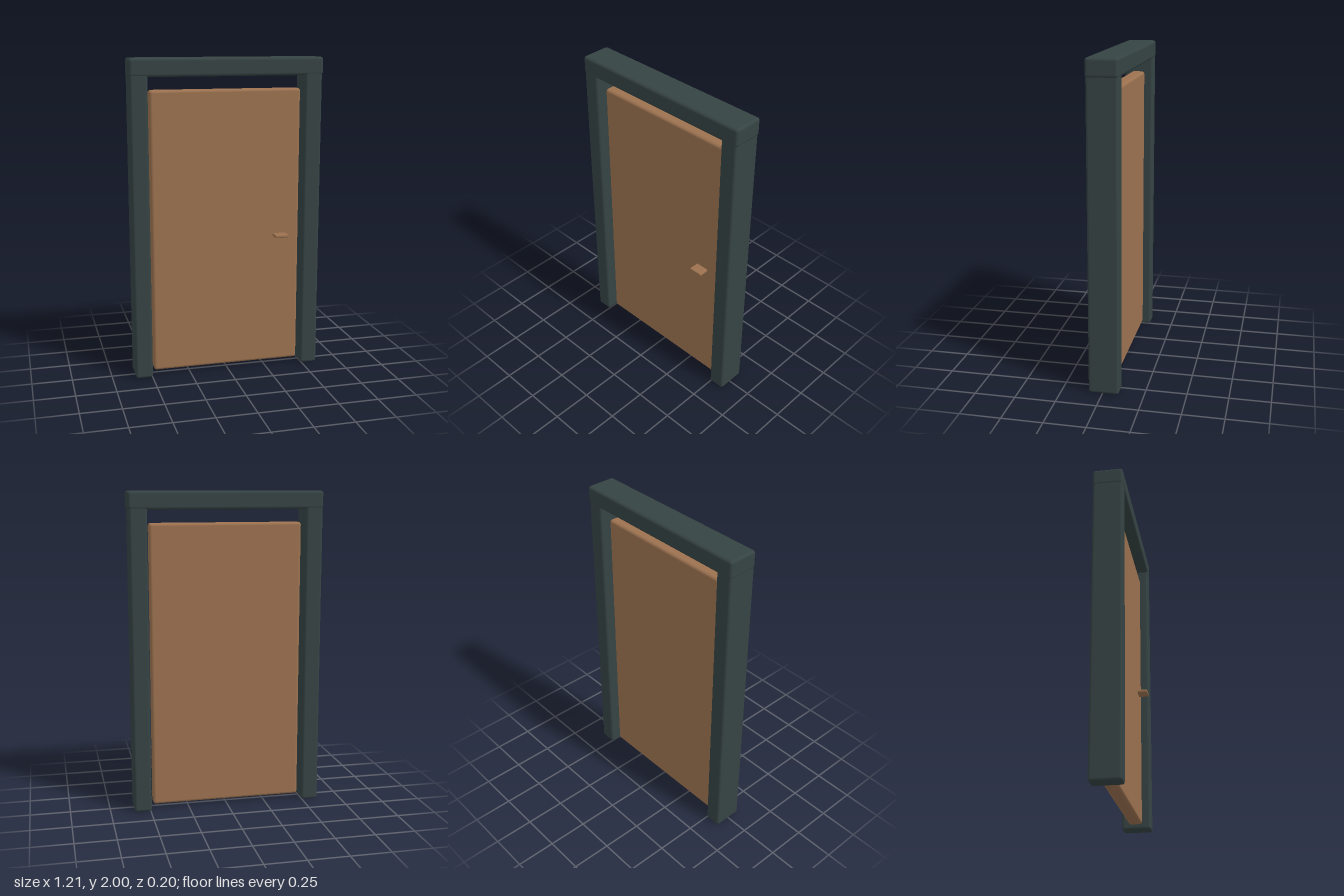
import * as THREE from 'three';
import { RoundedBoxGeometry } from 'three/addons/geometries/RoundedBoxGeometry.js';

const frameColor = new THREE.MeshStandardMaterial({ name: 'dark slate', color: 0x364343 });
const woodColor = new THREE.MeshStandardMaterial({ name: 'warm wood', color: 0x9c7250 });

// Rounded block spanning two opposite corners
function block(name, material, min, max, radius) {
  const size = max.map((v, i) => v - min[i]);
  const mesh = new THREE.Mesh(new RoundedBoxGeometry(...size, 4, radius), material);
  mesh.position.set(...max.map((v, i) => (v + min[i]) / 2));
  mesh.name = name;
  return mesh;
}

export function createModel() {
  const model = new THREE.Group();
  model.name = 'door';

  // Frame: two posts under a lintel
  const frame = new THREE.Group();
  frame.name = 'frame';
  frame.add(
    block('rightPost', frameColor, [-0.604, 0, -0.1], [-0.497, 1.91, 0.086], 0.016),
    block('leftPost', frameColor, [0.492, 0, -0.1], [0.6, 1.91, 0.086], 0.016),
    block('lintel', frameColor, [-0.606, 1.888, -0.102], [0.606, 2, 0.088], 0.018),
  );

  // Door panel, set back inside the frame, with a small bar handle on the front
  const leaf = new THREE.Group();
  leaf.name = 'leaf';
  leaf.add(
    block('panel', woodColor, [-0.48, 0.025, -0.05], [0.476, 1.807, 0.036], 0.018),
    block('handle', woodColor, [0.303, 0.865, 0.03], [0.39, 0.885, 0.1], 0.006),
  );

  model.add(frame, leaf);
  return model;
}
